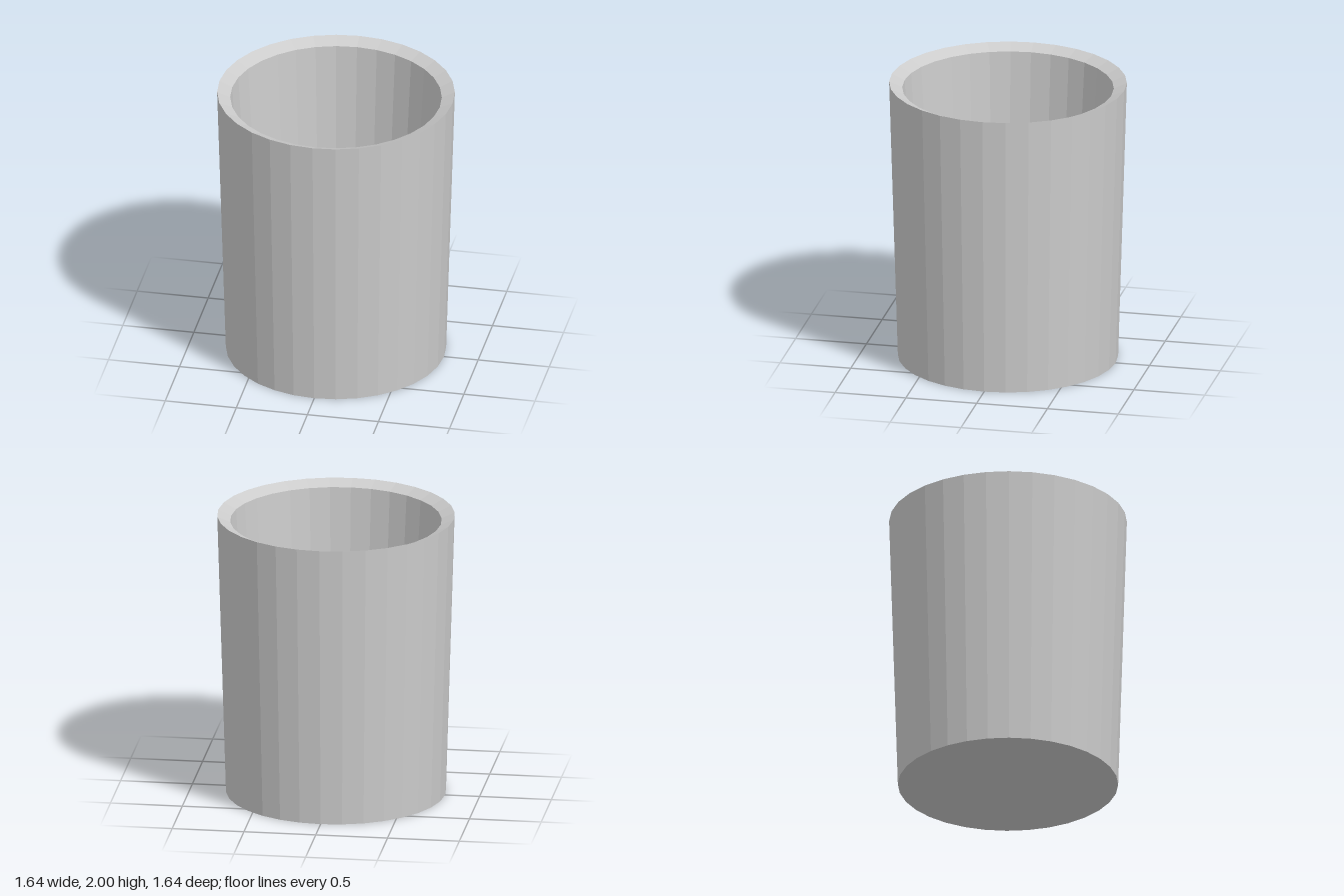
import * as THREE from 'three';

export function createModel() {
  const group = new THREE.Group();
  group.name = 'cup';

  // Closed wall profile: base, outer wall, inward-sloping rim, inner wall, floor
  const profile = [
    [0, 0], [0.76, 0], [0.82, 2], [0.73, 1.96], [0.615, 0.12], [0, 0.12],
  ].map(([r, y]) => new THREE.Vector2(r, y));

  const cup = new THREE.Mesh(
    new THREE.LatheGeometry(profile, 32),
    new THREE.MeshStandardMaterial({ color: 0xcccccc, flatShading: true }),
  );
  cup.name = 'cupBody';
  group.add(cup);
  return group;
}
